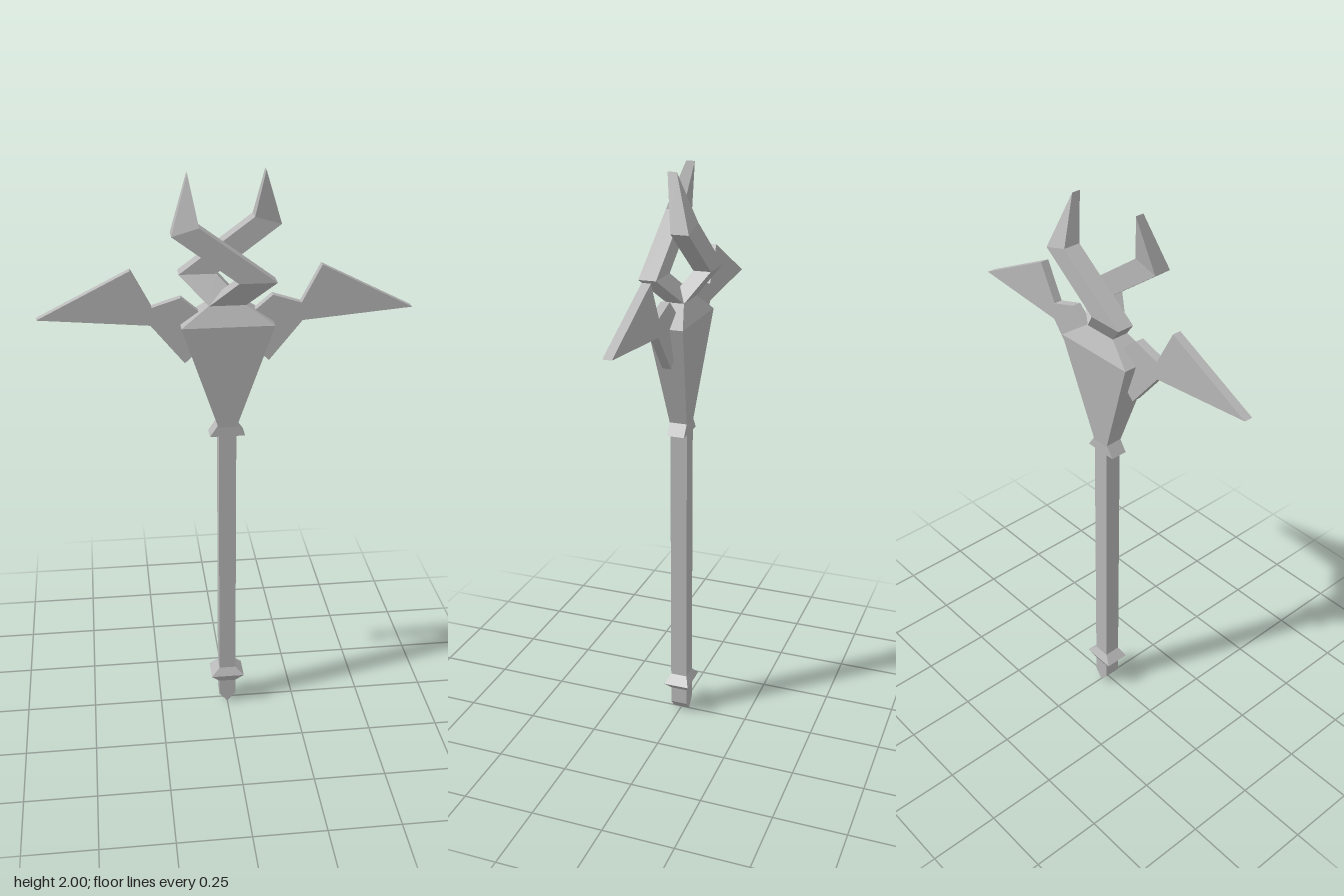
import * as THREE from 'three';

const steel = new THREE.MeshStandardMaterial({ color: 0xb8b8b8 });
steel.name = 'steel grey';

// Faceted solid through four-cornered sections listed bottom to top.
// Section: [xLeft, yLeft, xRight, yRight, zBack, zFront]
function loft(name, sections) {
  const rings = sections.map(([xl, yl, xr, yr, zb, zf]) => [
    [xl, yl, zf], [xr, yr, zf], [xr, yr, zb], [xl, yl, zb],
  ]);
  const pos = [];
  const quad = (a, b, c, d) => pos.push(...a, ...b, ...c, ...a, ...c, ...d);
  for (let s = 0; s < rings.length - 1; s++) {
    const lo = rings[s], hi = rings[s + 1];
    for (let i = 0; i < 4; i++) {
      const j = (i + 1) % 4;
      quad(lo[i], lo[j], hi[j], hi[i]);
    }
  }
  const [b0, b1, b2, b3] = rings[0];
  quad(b3, b2, b1, b0);
  quad(...rings[rings.length - 1]);
  const geo = new THREE.BufferGeometry();
  geo.setAttribute('position', new THREE.Float32BufferAttribute(pos, 3));
  geo.computeVertexNormals();
  const mesh = new THREE.Mesh(geo, steel);
  mesh.name = name;
  return mesh;
}

// Symmetric section: height, half width, half depth
const sec = (y, w, d) => [-w, y, w, y, -d, d];

// Flat plate with a polygon outline, centred on z = 0
function plate(name, points, depth) {
  const shape = new THREE.Shape(points.map(([x, y]) => new THREE.Vector2(x, y)));
  const geo = new THREE.ExtrudeGeometry(shape, { depth, bevelEnabled: false });
  geo.translate(0, 0, -depth / 2);
  const mesh = new THREE.Mesh(geo, steel);
  mesh.name = name;
  return mesh;
}

export function createModel() {
  const group = new THREE.Group();
  group.name = 'staff';

  // Square shaft with a wedge foot
  group.add(loft('shaft', [sec(0, 0, 0.03), sec(0.035, 0.03, 0.03), sec(1.15, 0.03, 0.03)]));

  // Pommel ring and flared collar
  group.add(loft('pommelRing', [
    sec(0.095, 0.03, 0.03), sec(0.125, 0.06, 0.045), sec(0.155, 0.03, 0.03),
  ]));
  group.add(plate('collar', [[-0.06, 1.11], [0.06, 1.11], [0.02, 1.17], [-0.02, 1.17]], 0.0605));

  // Tapered head block with a bevelled top
  group.add(loft('head', [
    sec(1.14, 0.03, 0.03), sec(1.51, 0.153, 0.06), sec(1.575, 0.06, 0.03),
  ]));

  // Side blades
  const blade = [
    [0.08, 1.43], [0.14, 1.375], [0.25, 1.51], [0.615, 1.542],
    [0.31, 1.695], [0.245, 1.57], [0.15, 1.6], [0.08, 1.54],
  ];
  group.add(plate('leftBlade', blade, 0.03));
  group.add(plate('rightBlade', blade.map(([x, y]) => [-x, y]), 0.03));

  // Two crossing horns, one in front and one behind
  ['frontHorn', 'backHorn'].forEach((name, i) => {
    const horn = loft(name, [
      [-0.06, 1.573, 0.06, 1.573, -0.03, 0.03],
      [0.03, 1.663, 0.153, 1.663, 0.03, 0.09],
      [-0.182, 1.82, -0.095, 1.845, 0.03, 0.09],
      [-0.125, 2, -0.125, 2, 0, 0.03],
    ]);
    horn.rotation.y = i * Math.PI;
    group.add(horn);
  });

  return group;
}
